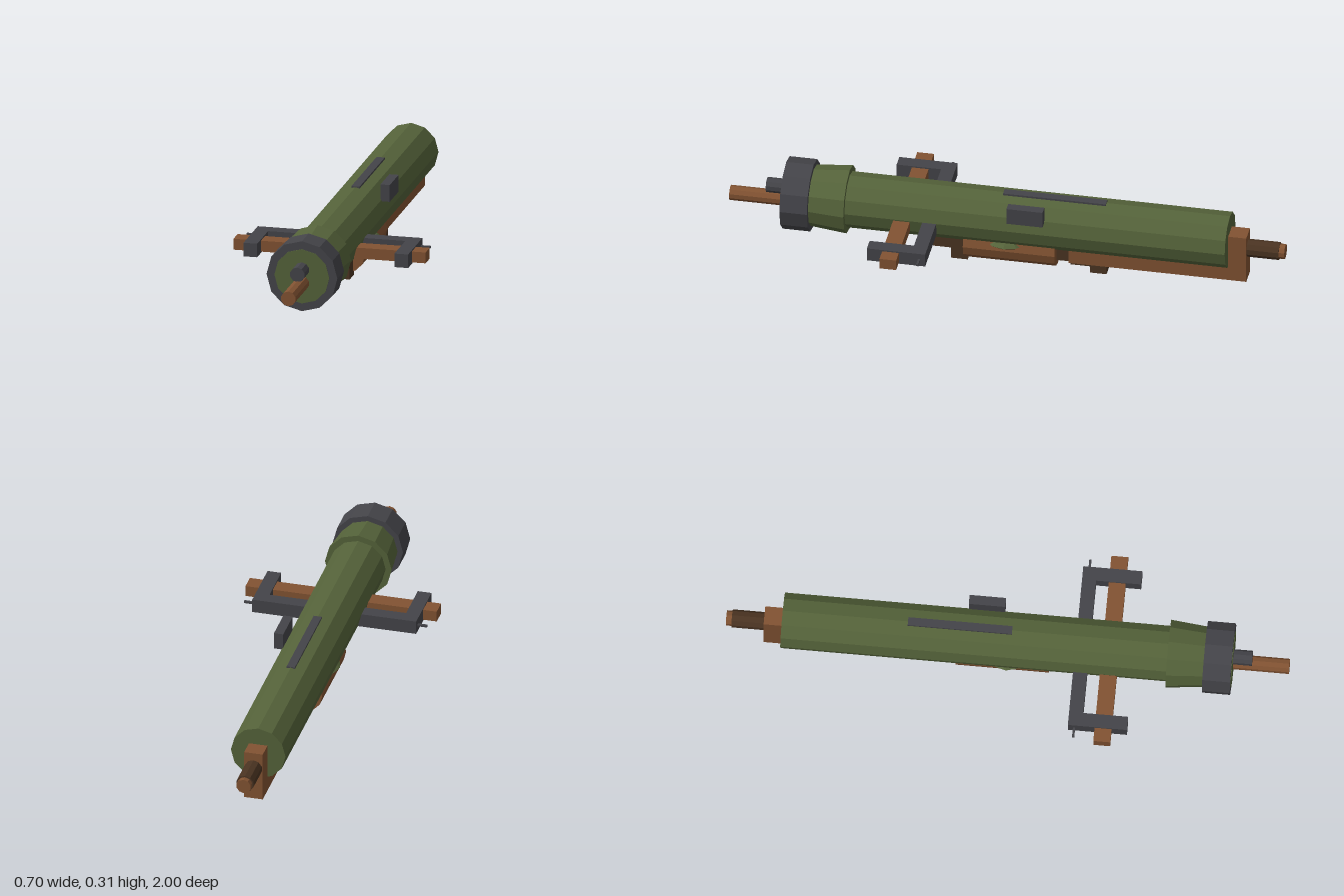
import * as THREE from 'three';

const mat = (name, color) => {
  const m = new THREE.MeshStandardMaterial({ color });
  m.name = name;
  return m;
};

export function createModel() {
  const model = new THREE.Group();
  model.name = 'launcher';
  const green = mat('olive green', 0x55633a);
  const gray = mat('gunmetal', 0x444449);
  const wood = mat('wood brown', 0x825332);
  const dark = mat('dark brown', 0x4b3422);

  const add = (name, geometry, material) => {
    // Faceted normals throughout
    const flat = geometry.index ? geometry.toNonIndexed() : geometry;
    flat.computeVertexNormals();
    const mesh = new THREE.Mesh(flat, material);
    mesh.name = name;
    model.add(mesh);
    return mesh;
  };
  // Box given by its extents on each axis
  const box = (name, material, [x0, x1], [y0, y1], [z0, z1]) =>
    add(name, new THREE.BoxGeometry(x1 - x0, y1 - y0, z1 - z0)
      .translate((x0 + x1) / 2, (y0 + y1) / 2, (z0 + z1) / 2), material);
  // Cylinder lying along z
  const rod = (name, material, y, z0, z1, rBack, rFront = rBack, sides = 12) =>
    add(name, new THREE.CylinderGeometry(rFront, rBack, z1 - z0, sides)
      .rotateX(Math.PI / 2).translate(0, y, (z0 + z1) / 2), material);

  // Main tube and its front end
  rod('tube', green, 0.185, -0.8, 0.801, 0.1);
  rod('frontCollar', green, 0.185, 0.57, 0.71, 0.122, 0.108);
  rod('muzzleRing', gray, 0.185, 0.7, 0.799, 0.129);
  rod('muzzlePin', gray, 0.21, 0.7, 0.868, 0.027, 0.027, 10);

  // Long rod through the tube with its rear grip
  rod('frontRod', wood, 0.16, 0.75, 1, 0.027, 0.027, 10);
  rod('rearRod', wood, 0.16, -1, -0.8, 0.027, 0.027, 10);
  rod('rearGrip', dark, 0.16, -0.98, -0.86, 0.032, 0.032, 10);

  // Wooden stock
  box('stockBase', wood, [-0.034, 0.034], [0.037, 0.1], [-0.865, -0.225]);
  box('stockBack', wood, [-0.034, 0.034], [0.037, 0.22], [-0.865, -0.8]);
  box('foreStock', wood, [-0.025, 0.025], [0.085, 0.11], [-0.23, 0.57]);

  // Underside pod with a flattened green disc
  rod('pod', wood, 0.078, -0.18, 0.15, 0.068);
  add('podDisc', new THREE.SphereGeometry(0.085, 12, 6)
    .scale(1, 0.21, 1).translate(0, 0.099, 0), green);

  // Dark feet under the stock
  const w = [-0.025, 0.025];
  box('frontFoot', dark, w, [0, 0.09], [0.14, 0.2]);
  box('frontFootStep', dark, w, [0.043, 0.09], [0.19, 0.265]);
  box('podStop', dark, w, [0.038, 0.09], [-0.225, -0.17]);
  box('rearFootStep', dark, w, [0.026, 0.055], [-0.36, -0.23]);
  box('rearFoot', dark, w, [0, 0.05], [-0.36, -0.3]);

  // Crossbar handles and their brackets
  box('crossbar', wood, [-0.35, 0.35], [0.14, 0.18], [0.335, 0.395]);
  box('bracketBar', gray, [-0.3, 0.3], [0.135, 0.185], [0.24, 0.29]);
  for (const s of [-1, 1]) {
    const side = s > 0 ? 'left' : 'right';
    const span = (a, b) => (s > 0 ? [a, b] : [-b, -a]);
    box(side + 'BracketArm', gray, span(0.25, 0.3), [0.135, 0.185], [0.285, 0.45]);
    box(side + 'BracketPin', gray, span(0.29, 0.335), [0.156, 0.164], [0.258, 0.266]);
  }

  // Top rail and side sight
  box('topRail', gray, [-0.015, 0.015], [0.27, 0.288], [-0.355, 0.015]);
  box('sight', gray, [0.083, 0.117], [0.23, 0.292], [-0.147, -0.017]);

  return model;
}
